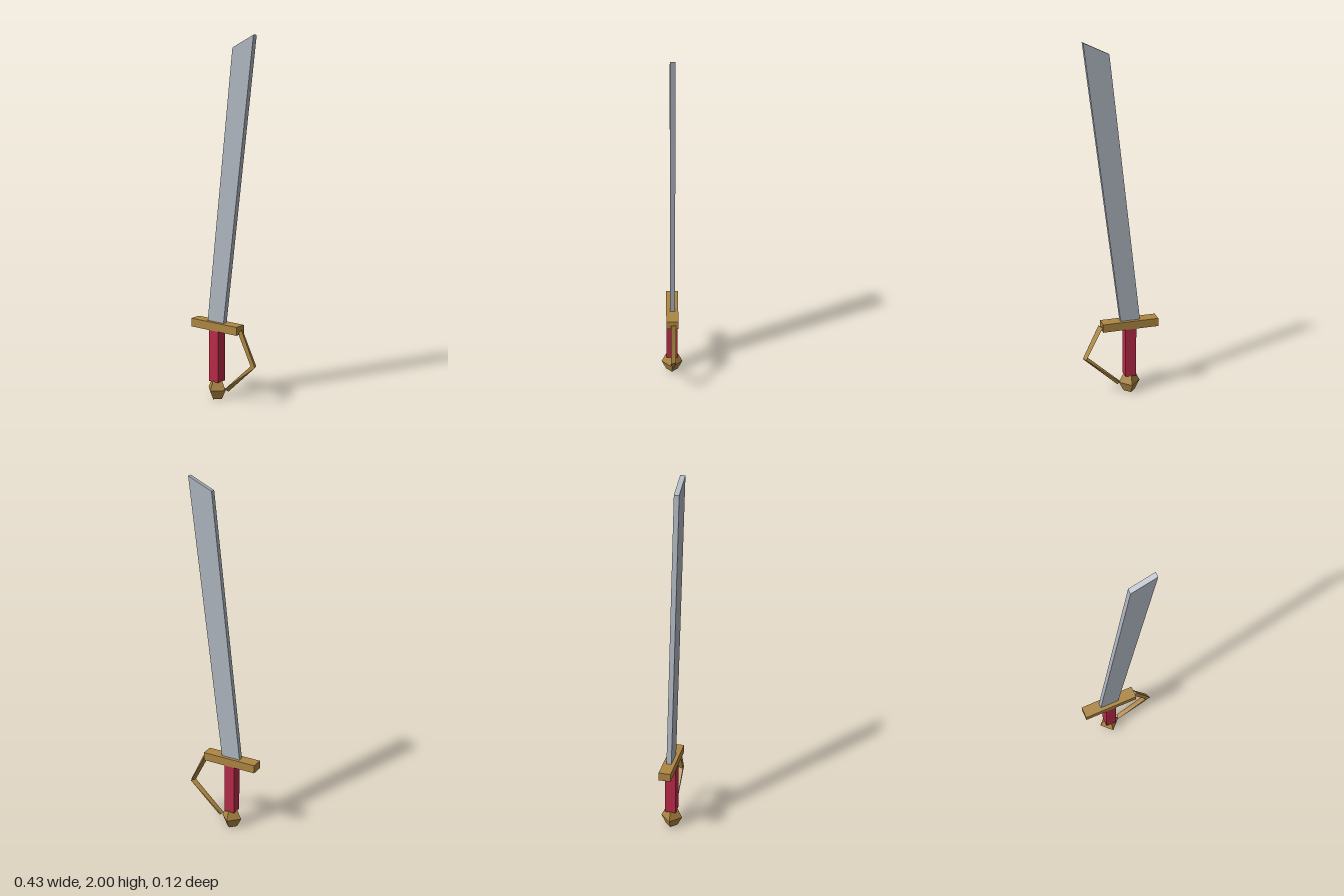
import * as THREE from 'three';

function material(name, color) {
  const m = new THREE.MeshStandardMaterial({ color });
  m.name = name;
  m.flatShading = true;
  return m;
}

// Loft triangular cross-sections into a closed bar
function loftTriangles(rings) {
  const pos = [];
  const tri = (a, b, c) => pos.push(...a, ...b, ...c);
  for (let r = 0; r < rings.length - 1; r++) {
    for (let i = 0; i < 3; i++) {
      const j = (i + 1) % 3;
      tri(rings[r][i], rings[r][j], rings[r + 1][j]);
      tri(rings[r][i], rings[r + 1][j], rings[r + 1][i]);
    }
  }
  const first = rings[0], last = rings[rings.length - 1];
  tri(first[0], first[2], first[1]);
  tri(last[0], last[1], last[2]);
  const g = new THREE.BufferGeometry();
  g.setAttribute('position', new THREE.Float32BufferAttribute(pos, 3));
  g.computeVertexNormals();
  return g;
}

export function createModel() {
  const group = new THREE.Group();
  group.name = 'cutlass';
  const steel = material('steel', 0xadb5bf);
  const brass = material('brass', 0xad8642);
  const leather = material('red leather', 0xb82a48);

  const add = (name, geometry, mat, x = 0, y = 0, z = 0) => {
    const mesh = new THREE.Mesh(geometry, mat);
    mesh.name = name;
    mesh.position.set(x, y, z);
    group.add(mesh);
  };
  const gripX = -0.056;

  // Slanted blade with an angled tip
  const outline = new THREE.Shape([
    [-0.113, 0.435], [-0.001, 0.435], [0.198, 2], [0.06, 1.935],
  ].map(([x, y]) => new THREE.Vector2(x, y)));
  add('blade', new THREE.ExtrudeGeometry(outline, { depth: 0.028, bevelEnabled: false }), steel, 0, 0, -0.016);

  // Crossguard and grip
  add('crossguard', new THREE.BoxGeometry(0.321, 0.047, 0.068), brass, -0.0545, 0.416, -0.001);
  add('grip', new THREE.BoxGeometry(0.062, 0.3, 0.062), leather, gripX, 0.25, 0);

  // Four-sided pommel, corners facing front and sides
  const profile = [[0, 0], [0.034, 0], [0.061, 0.054], [0.036, 0.106], [0, 0.106]];
  add('pommel', new THREE.LatheGeometry(profile.map(([r, y]) => new THREE.Vector2(r, y)), 4), brass, gripX);

  // Bent knuckle guard: each ring is outer, inner and rear corner
  add('knuckleGuard', loftTriangles([
    [[0.122, 0.42, 0.008], [0.096, 0.405, 0.008], [0.106, 0.415, -0.022]],
    [[0.214, 0.226, 0.008], [0.185, 0.23, 0.008], [0.2, 0.228, -0.022]],
    [[0.018, 0.049, -0.01], [0.002, 0.062, 0.008], [0.003, 0.064, -0.02]],
  ]), brass);

  return group;
}
